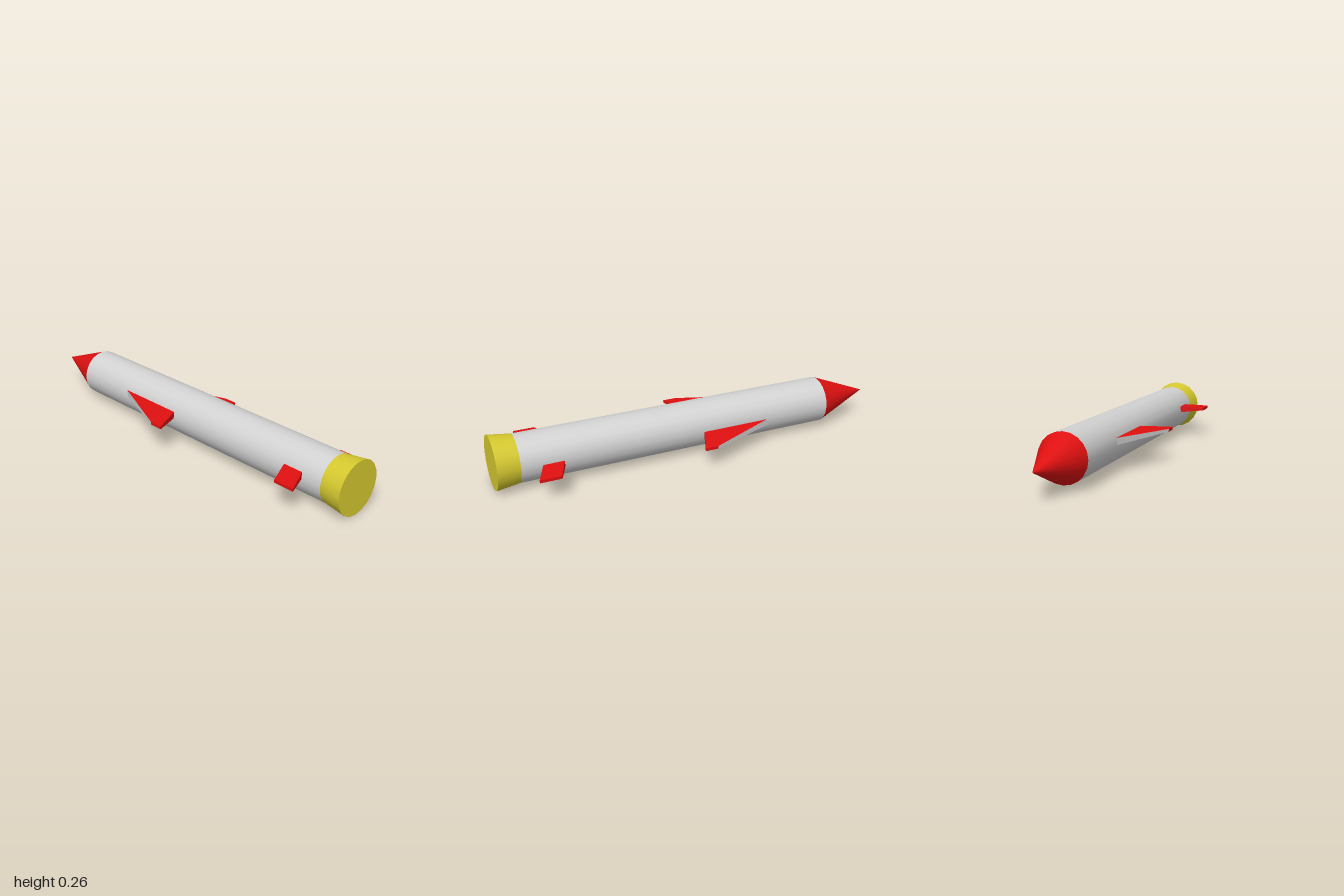
import * as THREE from 'three';

const AXIS_Y = 0.132;
const SIDES = 20;

const material = (name, color, opts = {}) => {
  const m = new THREE.MeshStandardMaterial({ color, ...opts });
  m.name = name;
  return m;
};

// Tapered round section lying along z, from zBack (nose side) to zFront (nozzle side)
function section(name, rBack, rFront, zBack, zFront, mat) {
  const geo = new THREE.CylinderGeometry(rFront, rBack, zFront - zBack, SIDES);
  geo.rotateX(Math.PI / 2);
  const mesh = new THREE.Mesh(geo, mat);
  mesh.position.set(0, AXIS_Y, (zBack + zFront) / 2);
  mesh.name = name;
  return mesh;
}

// Swept fin on the +x side: each end is { x, z: [leading, trailing], y: [bottom, top] }.
// Material group 1 is the leading edge, group 0 everything else.
function finGeometry(root, tip) {
  const corners = ({ x, z, y }) => [
    [x, y[0], z[0]], [x, y[1], z[0]], [x, y[1], z[1]], [x, y[0], z[1]],
  ];
  const r = corners(root), t = corners(tip);
  const quads = [
    [r[1], r[2], t[2], t[1]], // top
    [r[0], t[0], t[3], r[3]], // bottom
    [r[2], r[3], t[3], t[2]], // trailing edge
    [t[0], t[1], t[2], t[3]], // tip
    [r[0], r[1], t[1], t[0]], // leading edge
  ];
  const pos = quads.flatMap(([a, b, c, d]) => [a, b, c, a, c, d].flat());
  const geo = new THREE.BufferGeometry();
  geo.setAttribute('position', new THREE.Float32BufferAttribute(pos, 3));
  geo.computeVertexNormals();
  geo.addGroup(0, 24, 0);
  geo.addGroup(24, 6, 1);
  return geo;
}

export function createModel() {
  const model = new THREE.Group();
  model.name = 'rocket';

  const grey = material('body grey', 0xd2d2d2);
  const red = material('red', 0xe01010);
  const yellow = material('nozzle yellow', 0xd8cb30);

  // Fuselage, nose and nozzle
  model.add(
    section('body', 0.116, 0.116, -0.71, 0.89, grey),
    section('noseCone', 0, 0.116, -1, -0.71, red),
    section('nozzle', 0.116, 0.131, 0.89, 1, yellow),
  );

  // Fins, with heights measured from the rocket axis
  const wing = finGeometry(
    { x: 0.1, z: [-0.396, -0.02], y: [-0.035, 0.0] },
    { x: 0.255, z: [-0.02, 0.047], y: [-0.028, -0.014] },
  );
  const tailFin = finGeometry(
    { x: 0.1, z: [0.683, 0.783], y: [-0.034, 0.0] },
    { x: 0.232, z: [0.737, 0.84], y: [-0.024, -0.01] },
  );

  // The second side is the first turned half a revolution about the axis
  [['left', 0], ['right', Math.PI]].forEach(([side, turn]) => {
    const fins = new THREE.Group();
    fins.name = side + 'Fins';
    fins.position.y = AXIS_Y;
    fins.rotation.z = turn;
    const w = new THREE.Mesh(wing, [red, grey]);
    w.name = side + 'Wing';
    const f = new THREE.Mesh(tailFin, [red, red]);
    f.name = side + 'TailFin';
    fins.add(w, f);
    model.add(fins);
  });

  return model;
}
